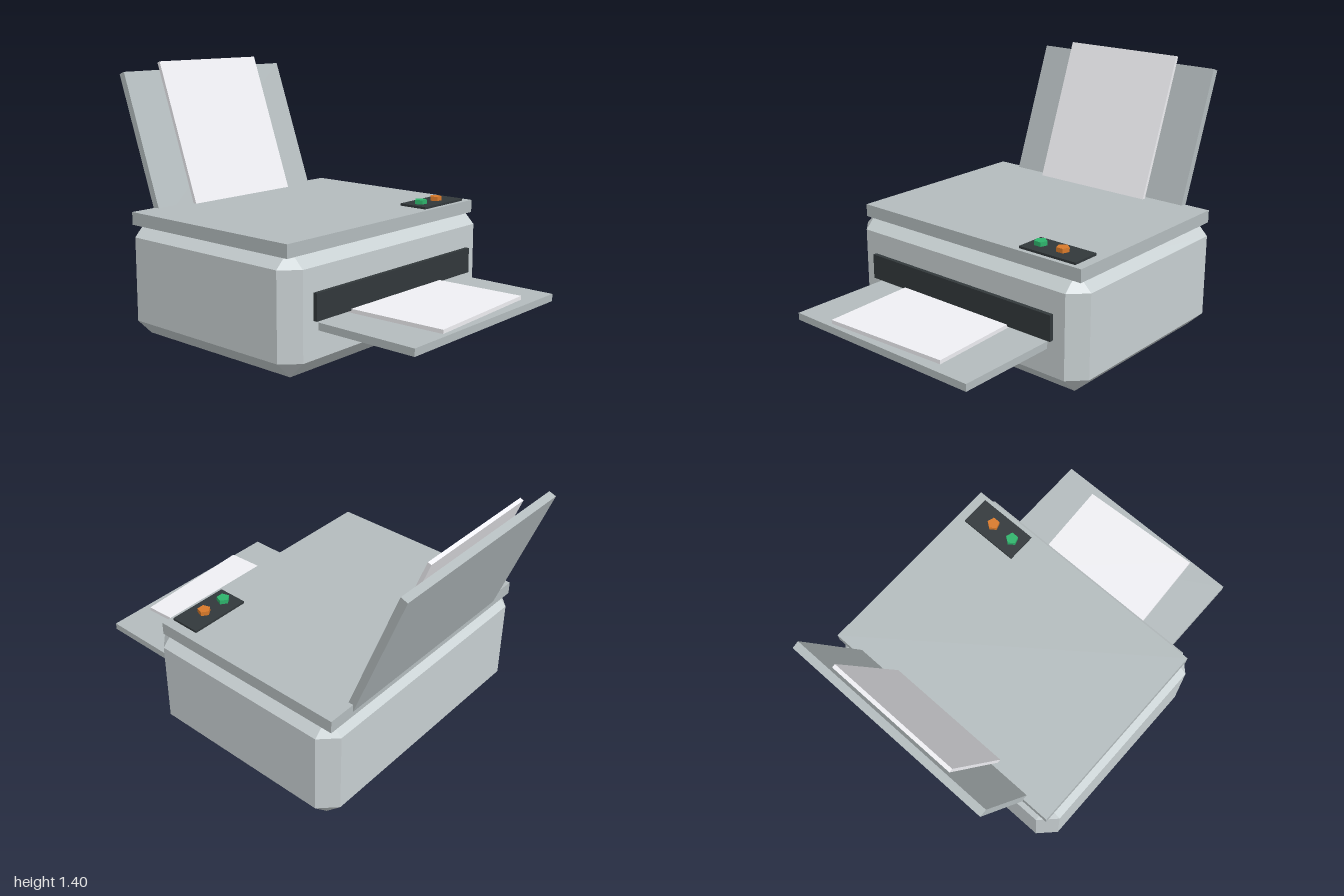
import * as THREE from 'three';
import { ConvexGeometry } from 'three/addons/geometries/ConvexGeometry.js';

const material = (color) => new THREE.MeshStandardMaterial({ color, flatShading: true });

// Box with every edge cut at 45 degrees and a triangle at each corner
function chamferedBox(w, h, d, c) {
  const points = [];
  for (const x of [-1, 1]) for (const y of [-1, 1]) for (const z of [-1, 1]) {
    for (let axis = 0; axis < 3; axis++) {
      const inset = [0, 1, 2].map((i) => (i === axis ? 0 : c));
      points.push(new THREE.Vector3(
        x * (w / 2 - inset[0]), y * (h / 2 - inset[1]), z * (d / 2 - inset[2])));
    }
  }
  return new ConvexGeometry(points);
}

export function createModel() {
  const model = new THREE.Group();
  model.name = 'printer';

  const shell = material(0xc8d0d2);
  const trim = material(0xb4bcbe);
  const dark = material(0x32383b);
  const paper = material(0xf0f0f4);

  function add(name, geometry, mat, x, y, z) {
    const mesh = new THREE.Mesh(geometry, mat);
    mesh.name = name;
    mesh.position.set(x, y, z);
    model.add(mesh);
    return mesh;
  }
  // Box given by its limits on each axis
  const block = (name, mat, [x0, x1], [y0, y1], [z0, z1]) => add(
    name, new THREE.BoxGeometry(x1 - x0, y1 - y0, z1 - z0), mat,
    (x0 + x1) / 2, (y0 + y1) / 2, (z0 + z1) / 2);

  // Housing and lid
  add('body', chamferedBox(1.53, 0.615, 1.19, 0.085), shell, 0, 0.3075, -0.155);
  block('lid', trim, [-0.73, 0.73], [0.582, 0.65], [-0.73, 0.39]);

  // Output slot, tray and the slightly skewed printed sheet
  block('outputSlot', dark, [-0.61, 0.61], [0.275, 0.41], [0.4, 0.462]);
  block('outputTray', trim, [-0.577, 0.577], [0.222, 0.26], [0.3, 1]);
  add('printedSheet', new THREE.BoxGeometry(0.71, 0.02, 0.6), paper, -0.003, 0.274, 0.663)
    .rotation.y = 0.05;

  // Sheets leaning back by 20 degrees, placed by their top front edge
  const lean = THREE.MathUtils.degToRad(20);
  function leaningSheet(name, mat, width, length, thickness, topY, topZ) {
    const geometry = new THREE.BoxGeometry(width, length, thickness);
    geometry.translate(0, -length / 2, -thickness / 2);
    add(name, geometry, mat, 0, topY, topZ).rotation.x = -lean;
  }
  leaningSheet('paperSupport', trim, 1.154, 0.84, 0.04, 1.357, -0.96);
  leaningSheet('blankSheet', paper, 0.714, 0.83, 0.02, 1.405, -0.931);

  // Control panel with two five-sided buttons
  block('controlPanel', dark, [0.337, 0.677], [0.64, 0.662], [0.2, 0.365]);
  for (const [name, color, x] of [['greenButton', 0x2eb46c, 0.405], ['orangeButton', 0xd97a2a, 0.54]]) {
    add(name, new THREE.CylinderGeometry(0.034, 0.034, 0.03, 5), material(color), x, 0.67, 0.283)
      .rotation.y = Math.PI;
  }

  return model;
}
